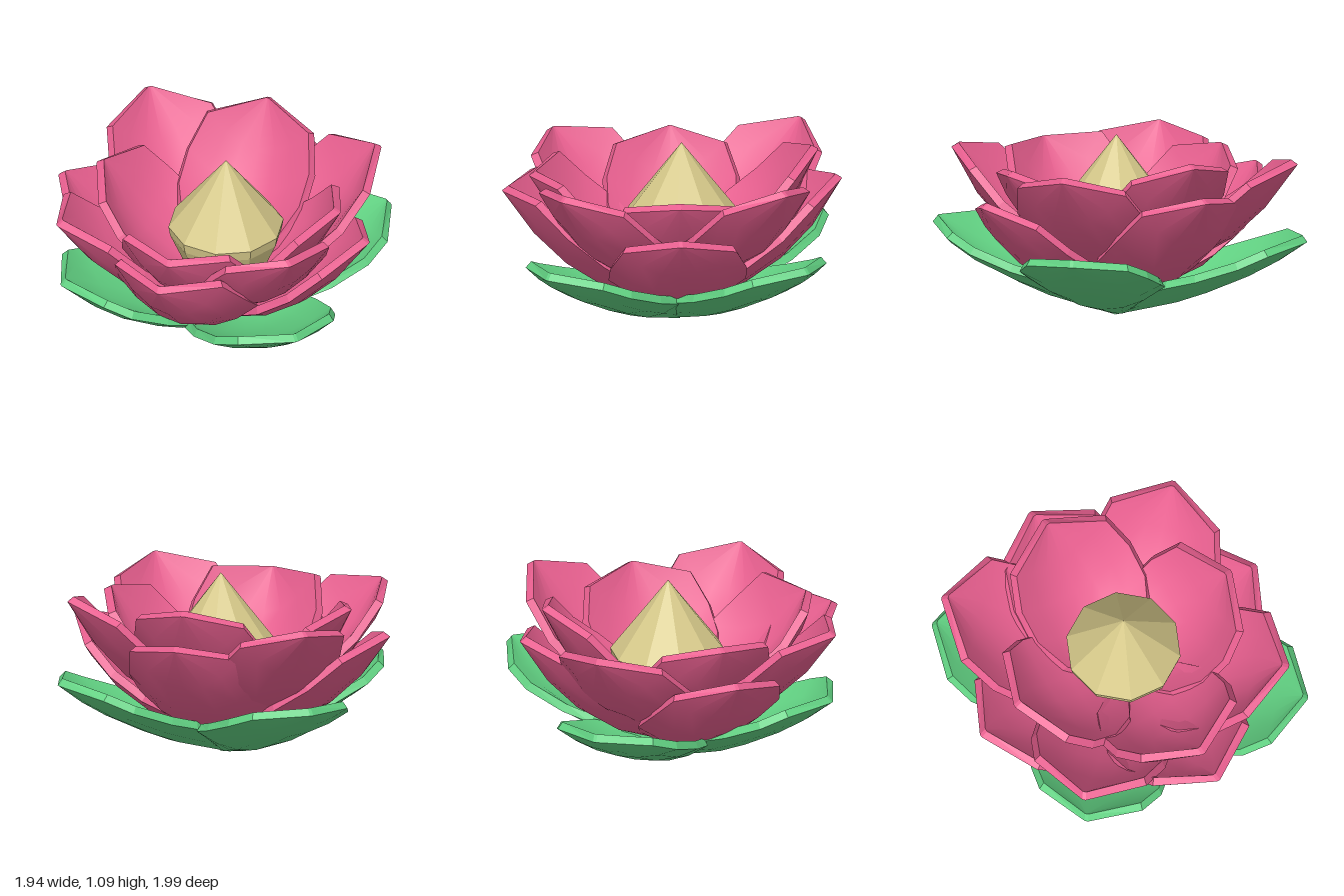
import * as THREE from 'three';
import { mergeGeometries } from 'three/addons/utils/BufferGeometryUtils.js';

const PINK = new THREE.MeshStandardMaterial({ color: 0xe85f8f });
const GREEN = new THREE.MeshStandardMaterial({ color: 0x62d283 });
const YELLOW = new THREE.MeshStandardMaterial({ color: 0xd6c98a, flatShading: true });

// Cross-sections from root to tip: [reach, height, half width, edge lift]
const LEAF_ROWS = [
  [0, 0.06, 0.03, 0], [0.2, 0.16, 0.26, 0.23], [0.34, 0.24, 0.37, 0.28],
  [0.5, 0.365, 0.395, 0.25], [0.72, 0.57, 0.38, 0.2], [0.86, 0.73, 0.3, 0.16],
  [1, 0.93, 0.01, 0],
];
const OUTER_ROWS = [
  [0.1, 0.2, 0.17, 0.06], [0.2, 0.22, 0.29, 0.14], [0.42, 0.31, 0.39, 0.22],
  [0.63, 0.47, 0.39, 0.24], [0.82, 0.69, 0.325, 0.23], [1, 1, 0.01, 0],
];
const MIDDLE_ROWS = [
  [0.06, 0.22, 0.12, 0.03], [0.2, 0.27, 0.29, 0.1], [0.42, 0.39, 0.39, 0.18],
  [0.63, 0.53, 0.39, 0.2], [0.82, 0.73, 0.325, 0.19], [1, 1, 0.01, 0],
];
const INNER_ROWS = [
  [0.05, 0.28, 0.12, 0.04], [0.2, 0.33, 0.3, 0.14], [0.42, 0.43, 0.39, 0.19],
  [0.63, 0.55, 0.39, 0.2], [0.82, 0.73, 0.325, 0.19], [1, 1, 0.01, 0],
];

function makeGeometry(positions, index) {
  const g = new THREE.BufferGeometry();
  g.setAttribute('position', new THREE.Float32BufferAttribute(positions, 3));
  if (index) g.setIndex(index);
  g.computeVertexNormals();
  return g;
}

// A cupped slab pointing along +z: smooth upper and lower sheets joined by a hard rim.
// The flare raises or lowers the edges, more so towards the tip.
function cuppedSlab(rows, reach, height, flare, thickness = 0.05) {
  const cols = 6, n = cols + 1, last = rows.length - 1;
  const mid = [], index = [];
  rows.forEach(([s, y, w, lift], i) => {
    const rise = lift * (1 + (flare - 1) * s);
    for (let j = 0; j <= cols; j++) {
      const u = (j / cols) * 2 - 1;
      mid.push(u * w, (y + rise * u * u) * height, s * reach);
      if (i < last && j < cols) {
        const a = i * n + j, b = a + 1, c = a + n, d = c + 1;
        index.push(a, c, b, b, c, d);
      }
    }
  });

  // Thicken along the normals, the whole tip sharing one direction
  const normals = makeGeometry(mid, index).attributes.normal.array;
  for (let j = 0; j <= cols; j++) {
    const centre = (last * n + cols / 2) * 3;
    normals.set(normals.slice(centre, centre + 3), (last * n + j) * 3);
  }
  const top = mid.map((v, k) => v + normals[k] * thickness / 2);
  const bottom = mid.map((v, k) => v - normals[k] * thickness / 2);

  // Walk the outline and wall it in
  const loop = [];
  for (let j = 0; j < cols; j++) loop.push(j);
  for (let i = 0; i < last; i++) loop.push(i * n + cols);
  for (let j = cols; j > 0; j--) loop.push(last * n + j);
  for (let i = last; i > 0; i--) loop.push(i * n);
  const rim = [];
  const at = (list, k) => list.slice(k * 3, k * 3 + 3);
  loop.forEach((p, k) => {
    const q = loop[(k + 1) % loop.length];
    rim.push(...at(top, p), ...at(top, q), ...at(bottom, p));
    rim.push(...at(top, q), ...at(bottom, q), ...at(bottom, p));
  });
  return mergeGeometries([
    makeGeometry(top, index).toNonIndexed(),
    makeGeometry(bottom, index.slice().reverse()).toNonIndexed(),
    makeGeometry(rim),
  ]);
}

// A ring of slabs, each given as [turn in degrees, reach, height, flare]
function ring(name, partName, rows, material, parts) {
  const group = new THREE.Group();
  group.name = name;
  for (const [turn, reach, height, flare] of parts) {
    const mesh = new THREE.Mesh(cuppedSlab(rows, reach, height, flare), material);
    mesh.name = partName;
    mesh.rotation.y = THREE.MathUtils.degToRad(turn);
    group.add(mesh);
  }
  group.position.set(0.035, 0, -0.02);
  return group;
}

export function createModel() {
  const flower = new THREE.Group();
  flower.name = 'waterLily';

  flower.add(
    ring('leaves', 'leaf', LEAF_ROWS, GREEN,
      [[45, 1.09, 0.57, 0.9], [133.5, 1.08, 0.59, 0.8], [224, 1.13, 0.56, 0.9], [314, 0.99, 0.56, 1.2]]),
    ring('outerPetals', 'outerPetal', OUTER_ROWS, PINK,
      [[0, 0.99, 0.82, 1.5], [90, 0.92, 0.77, 0.82], [180, 0.96, 0.87, 1], [270, 0.98, 0.8, 0.82]]),
    ring('middlePetals', 'middlePetal', MIDDLE_ROWS, PINK,
      [[45.5, 0.97, 0.98, 1.1], [129, 0.98, 1.02, 0.95], [223.5, 1.07, 0.98, 1], [313.5, 1.01, 0.94, 1.25]]),
    ring('innerPetals', 'innerPetal', INNER_ROWS, PINK,
      [[0, 0.83, 0.91, 1.65], [90, 0.74, 0.94, 1.1], [180, 0.82, 1.05, 1], [270, 0.74, 0.94, 1.1]]),
  );

  // Ten-sided heart: a cone above a tapering underside
  const profile = [[0, 0.12], [0.2, 0.3], [0.33, 0.6], [0.34, 0.66], [0, 1.1]]
    .map(([r, y]) => new THREE.Vector2(r, y));
  const heart = new THREE.Mesh(new THREE.LatheGeometry(profile, 10), YELLOW);
  heart.name = 'heart';
  heart.rotation.y = THREE.MathUtils.degToRad(10);
  heart.position.set(0.065, 0, -0.06);
  flower.add(heart);
  return flower;
}
